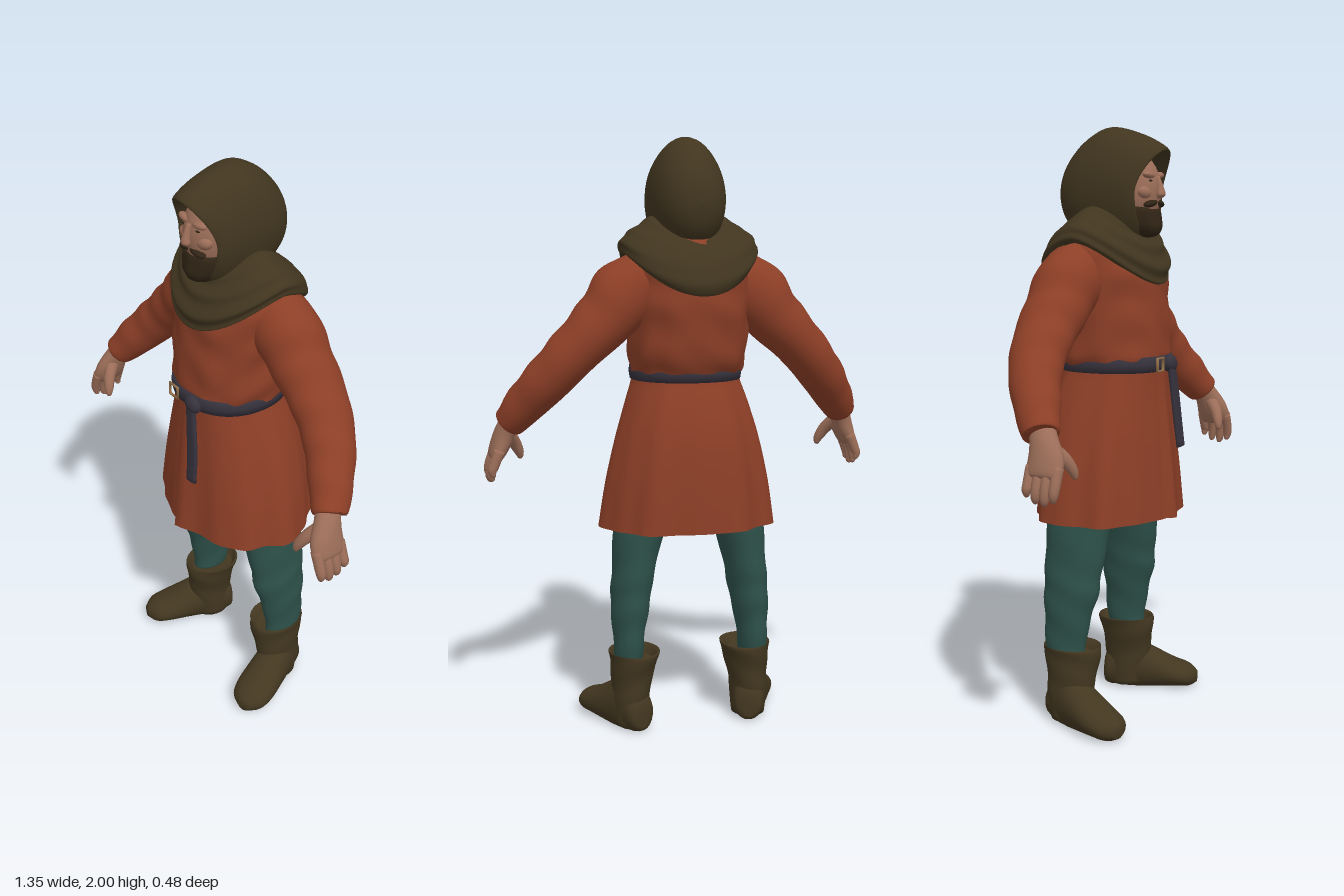
import * as THREE from 'three';

const paint = (name, color) => Object.assign(new THREE.MeshStandardMaterial({ color, side: THREE.DoubleSide }), { name });

// Smooth blend through ring values
function ringAt(rings, f) {
  const i = Math.min(Math.floor(f), rings.length - 2), t = f - i;
  const get = k => rings[Math.max(0, Math.min(rings.length - 1, k))];
  const [a, b, c, d] = [get(i - 1), get(i), get(i + 1), get(i + 2)];
  return [0, 1, 2, 3, 4, 5].map(k => {
    const [p, q, r, s] = [a, b, c, d].map(v => v[k] || 0);
    return q + 0.5 * t * (r - p + t * (2 * p - 5 * q + 4 * r - s + t * (3 * (q - r) + s - p)));
  });
}

// Skin over rings [x, y, z, radiusU, radiusV, weight]; with no axis the rings follow the path
function loft(rings, { n = 28, steps = 4, axis = null, up = [0, 0, 1], power = 1, start = 0,
  caps = true, ripple = () => 0, shift = () => {} } = {}) {
  const rows = (rings.length - 1) * steps, pos = [], idx = [];
  const all = Array.from({ length: rows + 1 }, (_, i) => ringAt(rings, i / steps));
  const centre = i => new THREE.Vector3(...all[Math.max(0, Math.min(rows, i))].slice(0, 3));
  const bend = v => Math.sign(v) * Math.abs(v) ** power;
  all.forEach((r, i) => {
    const T = axis ? new THREE.Vector3(...axis) : centre(i + 1).sub(centre(i - 1)).normalize();
    const V = new THREE.Vector3(...up).addScaledVector(T, -T.dot(new THREE.Vector3(...up))).normalize();
    const U = new THREE.Vector3().crossVectors(T, V);
    for (let j = 0; j < n; j++) {
      const a = start + j / n * Math.PI * 2, m = 1 + ripple(a, i / rows, j / n);
      const p = centre(i).addScaledVector(U, bend(Math.cos(a)) * r[3] * m).addScaledVector(V, bend(Math.sin(a)) * r[4] * m);
      shift(p, a, r[5]);
      pos.push(p.x, p.y, p.z);
    }
  });
  for (let i = 0; i < rows; i++) for (let j = 0; j < n; j++) {
    const k = (j + 1) % n, a = i * n + j, b = i * n + k;
    idx.push(a, a + n, b, b, a + n, b + n);
  }
  if (caps) {
    const c = pos.length / 3, e = rows * n;
    pos.push(...centre(0).toArray(), ...centre(rows).toArray());
    for (let j = 0; j < n; j++) {
      const k = (j + 1) % n;
      idx.push(c, j, k, c + 1, e + k, e + j);
    }
  }
  const g = new THREE.BufferGeometry();
  g.setAttribute('position', new THREE.Float32BufferAttribute(pos, 3));
  g.setIndex(idx);
  g.computeVertexNormals();
  return g;
}

function mirrored(geo) {
  const g = geo.clone().scale(-1, 1, 1), ix = g.index.array;
  for (let i = 0; i < ix.length; i += 3) [ix[i], ix[i + 1]] = [ix[i + 1], ix[i]];
  g.computeVertexNormals();
  return g;
}

const ball = (x, y, z, rx, ry, rz, tilt = 0) =>
  new THREE.SphereGeometry(1, 24, 16).scale(rx, ry, rz).rotateZ(tilt).translate(x, y, z);

export function createModel() {
  const wool = paint('rust wool', 0x8d3f27), lining = paint('dark red lining', 0x4c1c16);
  const hoodCloth = paint('brown hood cloth', 0x41351f), hose = paint('teal hose', 0x2e514a);
  const leather = paint('boot leather', 0x433720), strap = paint('dark strap', 0x36323d);
  const skin = paint('skin', 0x9c6e59), hair = paint('beard hair', 0x302415), brass = paint('brass', 0x94704a);
  const model = new THREE.Group();
  const add = (name, geo, mat) => {
    const m = new THREE.Mesh(geo, mat);
    m.name = name;
    model.add(m);
  };
  const pair = (name, geo, mat) => {
    add(name + 'Left', geo, mat);
    add(name + 'Right', mirrored(geo), mat);
  };
  const Y = [0, 1, 0];

  // Tunic skirt: pleats deepen toward the hem, with an overlapping front flap
  const skirt = {
    n: 96, axis: Y, power: 0.9, caps: false, start: Math.PI / 2 + 0.08,
    ripple: (a, t, u) => (1 - t) * (0.032 * Math.cos(7 * a + 0.5) + 0.018 * Math.sin(12 * a + 1) + 0.15 * Math.exp(-(1 - u) * 18)),
  };
  add('tunicSkirt', loft([
    [0, 0.7, -0.014, 0.298, 0.222], [0, 0.85, -0.016, 0.276, 0.216],
    [0, 1, -0.014, 0.243, 0.205], [0, 1.12, -0.004, 0.208, 0.187], [0, 1.2, 0.008, 0.182, 0.173], [0, 1.25, 0.01, 0.178, 0.17],
  ], skirt), wool);
  add('skirtLining', loft([
    [0, 0.701, -0.014, 0.294, 0.218], [0, 0.85, -0.016, 0.264, 0.204], [0, 1, -0.012, 0.23, 0.19], [0, 1.12, 0, 0.19, 0.165],
  ], skirt), lining);

  // Tunic body, bloused over the belt
  add('tunicBody', loft([
    [0, 1.2, 0.01, 0.178, 0.168], [0, 1.265, -0.004, 0.196, 0.192], [0, 1.4, -0.02, 0.202, 0.198],
    [0, 1.52, -0.025, 0.212, 0.192], [0, 1.61, -0.03, 0.205, 0.165], [0, 1.67, -0.025, 0.13, 0.11],
  ], {
    n: 64, steps: 8, axis: Y, power: 0.9,
    ripple: (a, t) => 0.02 * Math.sin(28 * t + 2.5 * Math.sin(2 * a)) * Math.sin(3 * a + 1) + 0.014 * (1 - t) * Math.cos(11 * a),
  }), wool);

  // Sleeves with wrinkles and an inturned cuff
  pair('sleeve', loft([
    [0.12, 1.55, -0.045, 0.09, 0.09], [0.215, 1.492, -0.05, 0.115, 0.108], [0.3, 1.4, -0.055, 0.098, 0.104],
    [0.39, 1.31, -0.052, 0.085, 0.096], [0.47, 1.22, -0.028, 0.079, 0.086], [0.54, 1.135, 0.02, 0.07, 0.074],
    [0.595, 1.06, 0.065, 0.054, 0.06], [0.593, 1.063, 0.063, 0.04, 0.045],
  ], { steps: 8, ripple: (a, t) => 0.035 * Math.sin(44 * t + 1.6 * Math.sin(a)) * (0.5 - 0.5 * Math.cos(a + 0.6)) }), wool);

  // Hands: palm, four fingers and thumb
  pair('palm', loft([
    [0.575, 1.09, 0.055, 0.034, 0.042], [0.602, 1.04, 0.08, 0.035, 0.046], [0.622, 0.985, 0.098, 0.034, 0.06],
    [0.641, 0.94, 0.1, 0.025, 0.06], [0.645, 0.93, 0.1, 0.01, 0.042],
  ]), skin);
  for (let k = 0; k < 4; k++) {
    const z = 0.147 - 0.031 * k, drop = [0.012, 0, 0.006, 0.024][k];
    pair('finger' + (k + 1), loft([
      [0.632, 0.965, z, 0.019, 0.0175], [0.653, 0.912, z, 0.0175, 0.017], [0.659, 0.872 + drop, z - 0.002, 0.015, 0.015],
      [0.655, 0.853 + drop, z - 0.004, 0.008, 0.008], [0.654, 0.85 + drop, z - 0.004, 0.001, 0.001],
    ], { n: 12 }), skin);
  }
  pair('thumb', loft([
    [0.6, 1.02, 0.1, 0.024, 0.025], [0.572, 0.982, 0.135, 0.022, 0.021], [0.552, 0.945, 0.152, 0.017, 0.016],
    [0.546, 0.922, 0.157, 0.009, 0.009], [0.545, 0.918, 0.158, 0.001, 0.001],
  ], { n: 12 }), skin);

  // Legs
  pair('leg', loft([
    [0.224, 0.23, -0.065, 0.045, 0.07], [0.221, 0.34, -0.062, 0.054, 0.08], [0.212, 0.45, -0.05, 0.066, 0.098],
    [0.2, 0.55, -0.045, 0.071, 0.105], [0.174, 0.7, -0.035, 0.088, 0.116], [0.125, 0.84, -0.02, 0.115, 0.122], [0.1, 0.95, -0.01, 0.11, 0.12],
  ], { axis: Y, steps: 6, ripple: (a, t) => 0.04 * (1 - t) * Math.sin(34 * t + 2.5 * Math.sin(a)) }), hose);

  // Boots: shaft with open cuff, and a foot turned outward with a flat sole
  pair('bootShaft', loft([
    [0.213, 0.01, -0.055, 0.058, 0.068], [0.213, 0.1, -0.054, 0.064, 0.08], [0.21, 0.16, -0.05, 0.068, 0.088],
    [0.203, 0.22, -0.05, 0.078, 0.097], [0.2, 0.264, -0.053, 0.086, 0.103], [0.2, 0.262, -0.053, 0.078, 0.094], [0.2, 0.235, -0.055, 0.06, 0.08],
  ], { axis: Y, ripple: (a, t) => 0.02 * Math.sin(20 * t + 2 * a) }), leather);
  pair('bootFoot', loft([
    [0, 0.045, -0.082, 0.015, 0.03], [0, 0.06, -0.068, 0.048, 0.062], [0, 0.08, 0, 0.06, 0.105], [0, 0.066, 0.08, 0.068, 0.082],
    [0, 0.048, 0.17, 0.074, 0.052], [0, 0.038, 0.23, 0.06, 0.04], [0, 0.032, 0.262, 0.02, 0.02],
  ], { axis: [0, 0, 1], up: Y, shift: p => { p.y = Math.max(p.y, 0); } })
    .rotateY(0.38).translate(0.217, 0, -0.06), leather);

  // Belt, buckle, knot and hanging strap
  add('belt', loft([
    [0, 1.197, 0.01, 0.165, 0.16], [0, 1.197, 0.01, 0.187, 0.184], [0, 1.222, 0.01, 0.191, 0.188],
    [0, 1.248, 0.01, 0.187, 0.184], [0, 1.248, 0.01, 0.165, 0.16],
  ], { n: 64, steps: 1, axis: Y, power: 0.92, caps: false }), strap);
  add('buckle', new THREE.TorusGeometry(0.03, 0.005, 8, 4).rotateZ(Math.PI / 4).translate(-0.05, 1.222, 0.201), brass);
  add('beltKnot', ball(0.045, 1.217, 0.192, 0.036, 0.03, 0.022, -0.3), strap);
  add('beltStrap', loft([
    [0.04, 1.23, 0.197, 0.02, 0.009], [0.053, 1.13, 0.205, 0.023, 0.009], [0.064, 1.03, 0.212, 0.025, 0.008], [0.07, 0.932, 0.222, 0.023, 0.008],
  ], { n: 16, power: 0.6 }), strap);

  // Draped cowl: the lower edge falls to a point at front and back
  add('cowl', loft([
    [0, 1.635, -0.03, 0.195, 0.165, 0.14], [0, 1.622, -0.028, 0.222, 0.202, 0.137], [0, 1.65, -0.028, 0.234, 0.21, 0.12],
    [0, 1.685, -0.025, 0.212, 0.183, 0.09], [0, 1.715, -0.02, 0.165, 0.15, 0.075], [0, 1.74, -0.012, 0.122, 0.125, 0.08], [0, 1.71, 0, 0.085, 0.09, 0.08],
  ], {
    n: 64, steps: 8, axis: Y, caps: false,
    ripple: (a, t) => 0.025 * Math.sin(34 * t + 2.5 * Math.sin(a + 0.5)) * (0.6 + 0.4 * Math.sin(a)),
    shift: (p, a, w) => { p.y -= w * Math.abs(Math.sin(a)) ** 1.6; },
  }), hoodCloth);

  // Dark undershirt collar below the beard
  add('underCollar', loft([
    [0, 1.6, 0.01, 0.11, 0.11], [0, 1.655, 0.012, 0.092, 0.1], [0, 1.69, 0.012, 0.08, 0.085],
  ], { axis: Y, caps: false }), lining);

  // Hood with a brim that juts forward at the top
  add('hood', loft([
    [0, 1.785, 0.06, 0.08, 0.118, 0.7], [0, 1.785, 0.118, 0.094, 0.13, 1], [0, 1.785, 0.128, 0.106, 0.146, 1],
    [0, 1.79, 0.085, 0.118, 0.184, 0.4], [0, 1.8, 0, 0.122, 0.2, 0], [0, 1.795, -0.08, 0.115, 0.172], [0, 1.785, -0.14, 0.09, 0.125],
    [0, 1.78, -0.175, 0.052, 0.07], [0, 1.78, -0.188, 0.004, 0.004],
  ], {
    n: 48, axis: [0, 0, -1], up: Y,
    shift: (p, a, w) => { p.z += 0.065 * w * Math.max(0, Math.sin(a)) ** 1.5; },
  }), hoodCloth);

  // Face: broad head with soft brow ridges, cheekbones and nose
  add('head', ball(0, 1.79, 0.058, 0.095, 0.138, 0.112), skin);
  add('nose', loft([
    [0, 1.838, 0.158, 0.009, 0.012], [0, 1.8, 0.172, 0.012, 0.014], [0, 1.777, 0.176, 0.018, 0.015], [0, 1.765, 0.17, 0.008, 0.008],
  ], { n: 14, axis: [0, -1, 0] }), skin);
  pair('brow', ball(0.034, 1.84, 0.148, 0.034, 0.012, 0.016, 0.1), skin);
  pair('cheek', ball(0.042, 1.783, 0.135, 0.034, 0.024, 0.025, 0.2), skin);
  pair('eye', ball(0.032, 1.822, 0.155, 0.013, 0.004, 0.005), hair);

  // Beard and moustache
  add('beard', loft([
    [0, 1.637, 0.118, 0.01, 0.01], [0, 1.645, 0.12, 0.042, 0.04], [0, 1.67, 0.117, 0.064, 0.056],
    [0, 1.7, 0.11, 0.077, 0.058], [0, 1.728, 0.102, 0.084, 0.058], [0, 1.742, 0.09, 0.08, 0.054],
  ], { n: 48, axis: Y, ripple: a => 0.025 * Math.sin(9 * a) }), hair);
  pair('moustache', ball(0.026, 1.75, 0.15, 0.036, 0.013, 0.02, -0.2), hair);

  return model;
}
